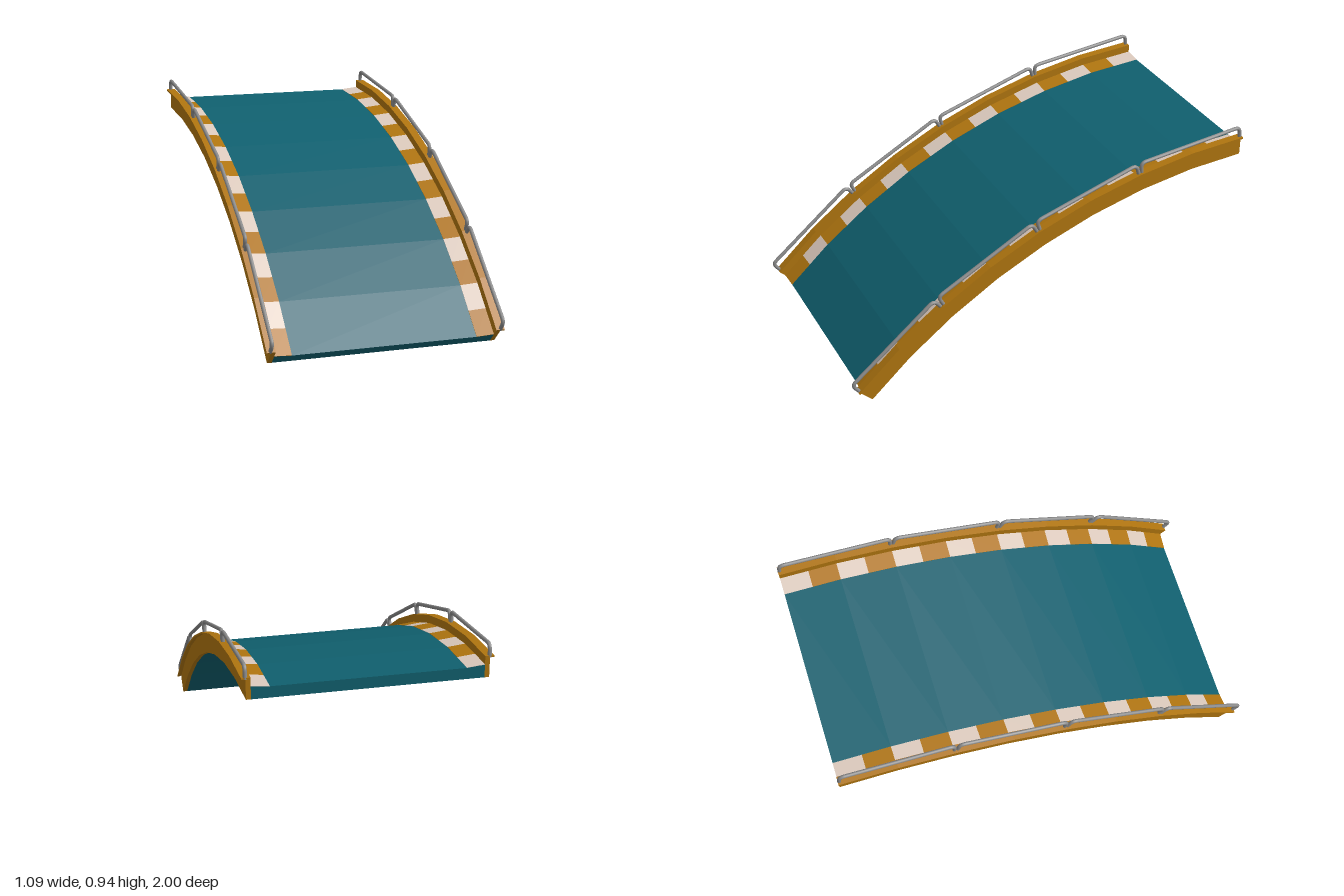
import * as THREE from 'three';

// The ramp is an eighth of a circle around an axis along x, in 8 flat segments.
const SEGMENTS = 8, ARC = Math.PI / 4, CENTRE_Y = -1.905, CENTRE_Z = -1;
const R_BOTTOM = 2.694, R_DECK = 2.745, R_CURB = 2.753, R_TOP = 2.792;

const material = (color) => new THREE.MeshStandardMaterial({ color, roughness: 0.8 });

// Point at segment position t (0 = crest, 8 = foot), lying on the segment's chord.
function arcPoint(x, r, t) {
  const at = (k) => {
    const a = (k / SEGMENTS) * ARC;
    return new THREE.Vector3(x, CENTRE_Y + r * Math.cos(a), CENTRE_Z + r * Math.sin(a));
  };
  const k = Math.min(Math.floor(t), SEGMENTS - 1);
  return at(k).lerp(at(k + 1), t - k);
}

// Sweeps a counter-clockwise [x, radius] section along the arc and caps both ends.
function sweep(section, stops) {
  const pos = [];
  const tri = (...pts) => pts.forEach((p) => pos.push(p.x, p.y, p.z));
  const rings = stops.map((t) => section.map(([x, r]) => arcPoint(x, r, t)));
  const n = section.length;
  for (let i = 0; i < rings.length - 1; i++) {
    const a = rings[i], b = rings[i + 1];
    for (let j = 0; j < n; j++) {
      const k = (j + 1) % n;
      tri(a[j], a[k], b[k]);
      tri(a[j], b[k], b[j]);
    }
  }
  const first = rings[0], last = rings[rings.length - 1];
  const flat = section.map(([x, r]) => new THREE.Vector2(x, r));
  for (const [a, b, c] of THREE.ShapeUtils.triangulateShape(flat, [])) {
    tri(last[a], last[b], last[c]);
    tri(first[c], first[b], first[a]);
  }
  const geo = new THREE.BufferGeometry();
  geo.setAttribute('position', new THREE.Float32BufferAttribute(pos, 3));
  geo.computeVertexNormals();
  return geo;
}

// Mirrors a section to the other side, keeping its winding.
const onSide = (section, s) =>
  s > 0 ? section : section.map(([x, r]) => [-x, r]).reverse();

// Handrail hoop standing on the side beam between two segment positions.
function railGeometry(x, tLow, tHigh) {
  const low = arcPoint(x, R_TOP, tLow), high = arcPoint(x, R_TOP, tHigh);
  const along = high.clone().sub(low).normalize();
  const up = new THREE.Vector3(1, 0, 0).cross(along).normalize();
  if (up.y < 0) up.negate();
  const length = low.distanceTo(high);
  const p = (d, h) => low.clone().addScaledVector(along, d).addScaledVector(up, h);
  const inset = 0.008, height = 0.05, bend = 0.026, end = length - inset;
  const path = new THREE.CurvePath();
  path.add(new THREE.LineCurve3(p(inset, -0.008), p(inset, height - bend)));
  path.add(new THREE.QuadraticBezierCurve3(
    p(inset, height - bend), p(inset, height), p(inset + bend, height)));
  path.add(new THREE.LineCurve3(p(inset + bend, height), p(end - bend, height)));
  path.add(new THREE.QuadraticBezierCurve3(
    p(end - bend, height), p(end, height), p(end, height - bend)));
  path.add(new THREE.LineCurve3(p(end, height - bend), p(end, -0.008)));
  return new THREE.TubeGeometry(path, 120, 0.009, 10);
}

export function createModel() {
  const model = new THREE.Group();
  model.name = 'curvedRamp';
  const teal = material(0x10606f);
  const ochre = material(0xb0750f);
  const pale = material(0xdccabd);
  const steel = material(0x8c8c8c);
  const add = (parent, name, geo, mat) => {
    const mesh = new THREE.Mesh(geo, mat);
    mesh.name = name;
    parent.add(mesh);
  };
  const allStops = Array.from({ length: SEGMENTS + 1 }, (_, i) => i);

  // Deck slab with slightly raised edges
  add(model, 'deck', sweep([
    [-0.505, R_BOTTOM], [0.505, R_BOTTOM], [0.505, R_CURB],
    [0.425, R_DECK], [-0.425, R_DECK], [-0.505, R_CURB],
  ], allStops), teal);

  for (const s of [1, -1]) {
    const side = new THREE.Group();
    side.name = s > 0 ? 'leftSide' : 'rightSide';
    model.add(side);

    // Side beam with a thin outward lip
    add(side, 'sideBeam', sweep(onSide([
      [0.505, R_BOTTOM], [0.526, R_BOTTOM], [0.526, R_TOP - 0.008],
      [0.545, R_TOP - 0.008], [0.545, R_TOP], [0.505, R_TOP],
    ], s), allStops), ochre);

    // Alternating warning stripes, two per segment
    const stripe = onSide([
      [0.425, R_DECK - 0.001], [0.505, R_CURB - 0.001],
      [0.505, R_CURB + 0.0015], [0.425, R_DECK + 0.0015],
    ], s);
    for (let i = 0; i < SEGMENTS * 2; i++) {
      add(side, 'edgeStripe', sweep(stripe, [i / 2, (i + 1) / 2]), i % 2 ? ochre : pale);
    }

    // Four handrail hoops, two segments each
    for (let t = 0; t < SEGMENTS; t += 2) {
      add(side, 'handrail', railGeometry(s * 0.527, t + 2, t), steel);
    }
  }
  return model;
}
